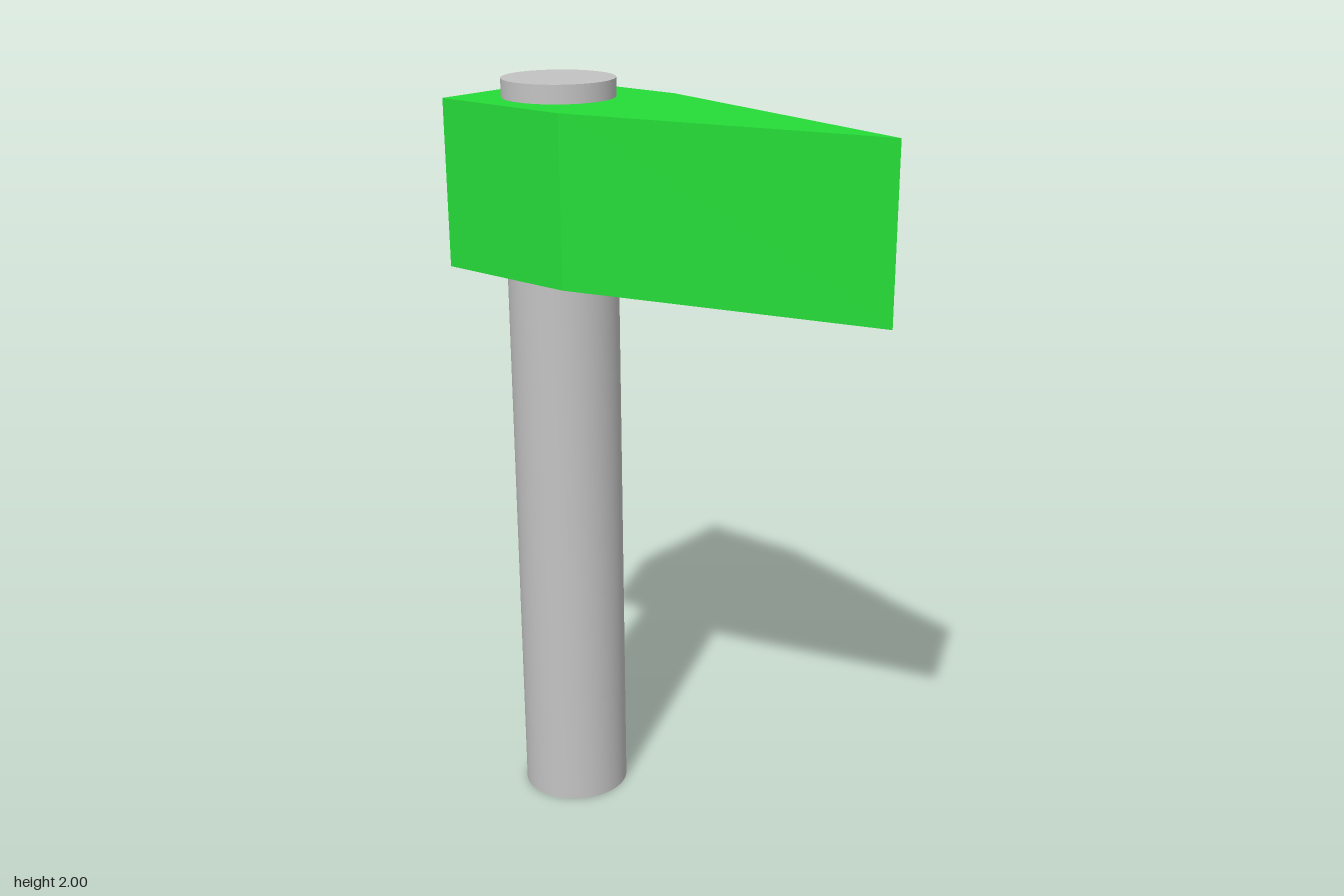
import * as THREE from 'three';

export function createModel() {
  const group = new THREE.Group();
  const green = new THREE.MeshStandardMaterial({ name: 'green paint', color: 0x25dc38 });
  const grey = new THREE.MeshStandardMaterial({ name: 'grey metal', color: 0xc3c3c3 });

  // Round pole, standing near the back and passing through the head
  const poleGeometry = new THREE.CylinderGeometry(0.145, 0.145, 2, 48);
  const pole = new THREE.Mesh(poleGeometry, grey);
  pole.name = 'pole';
  pole.position.set(-0.007, 1, -0.403);
  group.add(pole);

  // Pointed head: plan outline drawn with shape y = -z, extruded upwards
  const outline = new THREE.Shape([
    [-0.215, 0.605], [-0.215, 0.21], [0, -0.605], [0.215, 0.21], [0.215, 0.605],
  ].map(([x, y]) => new THREE.Vector2(x, y)));
  const headGeometry = new THREE.ExtrudeGeometry(outline, { depth: 0.428, bevelEnabled: false });
  headGeometry.rotateX(-Math.PI / 2);
  const head = new THREE.Mesh(headGeometry, green);
  head.name = 'pointedHead';
  head.position.y = 1.525;
  group.add(head);

  return group;
}
